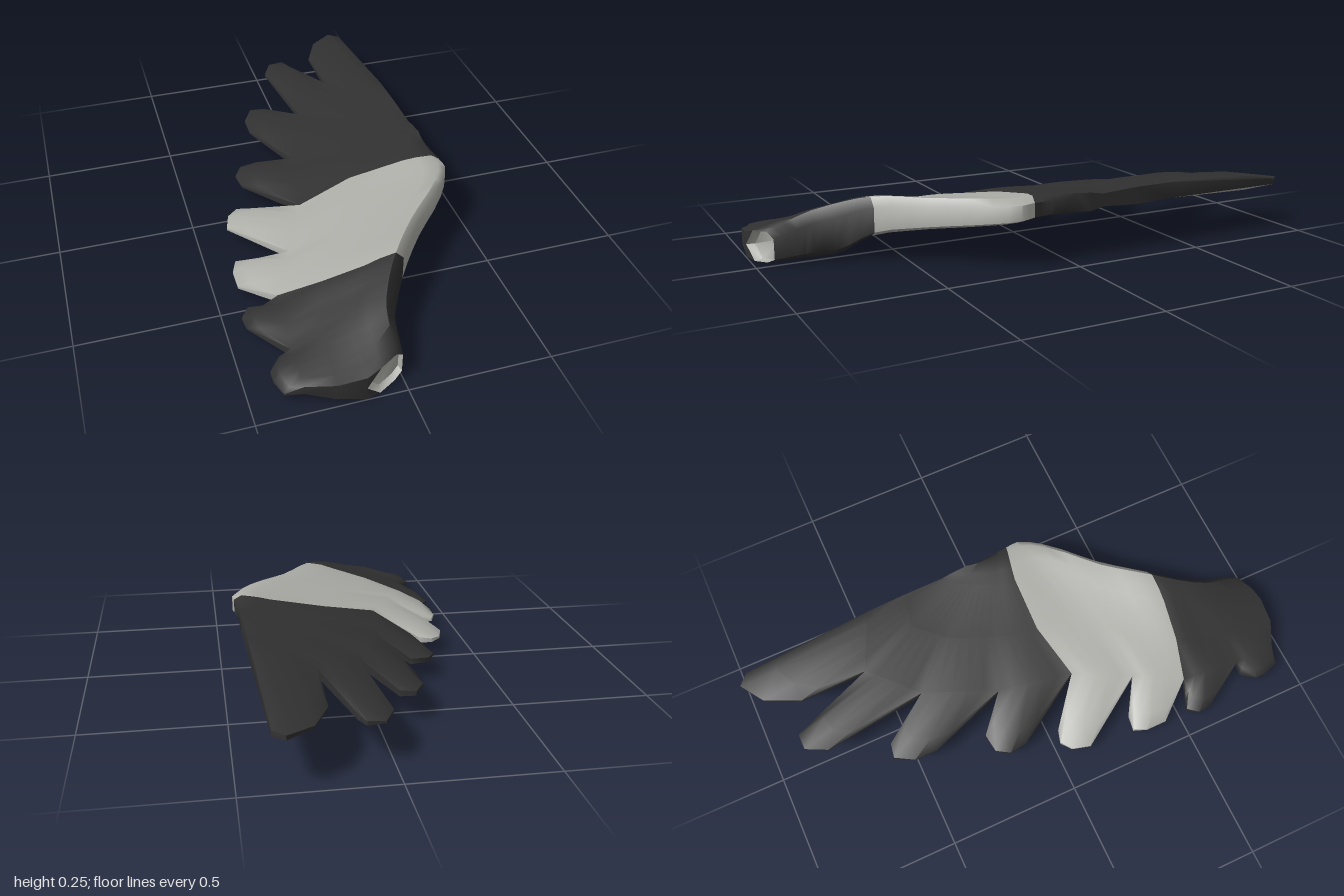
import * as THREE from 'three';
import { toCreasedNormals } from 'three/addons/utils/BufferGeometryUtils.js';

const mat = (name, color) => {
  const m = new THREE.MeshStandardMaterial({ color });
  m.name = name;
  return m;
};
const lerp = THREE.MathUtils.lerp;

// Leading edge from hand to shoulder: x, centre height, z, half thickness
const EDGE = [
  [0.425, 0.21, 0.0, 0.037], [0.427, 0.21, 0.04, 0.038], [0.43, 0.21, 0.08, 0.04],
  [0.433, 0.21, 0.11, 0.041], [0.436, 0.21, 0.145, 0.043], [0.44, 0.205, 0.2, 0.046],
  [0.38, 0.197, 0.3, 0.052], [0.24, 0.178, 0.45, 0.06], [0.12, 0.16, 0.61, 0.076],
  [0.06, 0.115, 0.71, 0.1], [0.02, 0.095, 0.8, 0.09], [0.0, 0.065, 0.935, 0.062],
];
const edgeCurve = new THREE.CatmullRomCurve3(EDGE.map(([x, y, z]) => new THREE.Vector3(x, y, z)));

// Positions along the leading edge where each feather begins and ends
const STOPS = [0, 1, 2, 3, 4, 6.3, 8, 10, 11];

// Notches between feathers: x, height, z
const NOTCHES = [
  [0.41, 0.208, -0.45], [0.2, 0.193, -0.55], [0.04, 0.162, -0.39], [-0.07, 0.145, -0.12],
  [-0.12, 0.135, 0.165], [-0.22, 0.112, 0.38], [-0.31, 0.085, 0.56], [-0.33, 0.063, 0.79], [-0.33, 0.053, 0.95],
];

// Feather tips: height, then four outline points x, z
const FEATHERS = [
  { part: 'handFeathers', y: 0.183, tip: [[0.39, -0.96], [0.35, -1.0], [0.26, -0.94], [0.2, -0.81]] },
  { part: 'handFeathers', y: 0.149, tip: [[0.11, -0.82], [0.09, -0.87], [0.03, -0.87], [-0.01, -0.79]] },
  { part: 'handFeathers', y: 0.107, tip: [[-0.075, -0.57], [-0.13, -0.58], [-0.17, -0.51], [-0.17, -0.42]] },
  { part: 'handFeathers', y: 0.08, tip: [[-0.19, -0.23], [-0.26, -0.22], [-0.29, -0.17], [-0.28, -0.1]] },
  { part: 'armFeathers', y: 0.063, tip: [[-0.28, 0.035], [-0.33, 0.02], [-0.37, 0.05], [-0.39, 0.12]] },
  { part: 'armFeathers', y: 0.05, tip: [[-0.34, 0.31], [-0.4, 0.3], [-0.42, 0.35], [-0.42, 0.43]] },
  { part: 'shoulderFeathers', y: 0.037, tip: [[-0.37, 0.545], [-0.41, 0.53], [-0.44, 0.57], [-0.435, 0.62]] },
  { part: 'shoulderFeathers', y: 0.042, tip: [[-0.37, 0.79], [-0.41, 0.84], [-0.41, 0.88], [-0.39, 0.94]] },
];
// Half thickness of a feather at its tip points, thicker on the leading side
const TIP_HALF = [0.011, 0.008, 0.004, 0.004];

// One chordwise rib: matching top and bottom points from nose to feather tip.
// bulge is 0 in a notch and 1 along the middle of a feather.
function makeRib(k, base, tip, bulge, tipHalf) {
  const nose = edgeCurve.getPoint(k / (EDGE.length - 1));
  const i = Math.min(Math.floor(k), EDGE.length - 2);
  const h = lerp(EDGE[i][3], EDGE[i + 1][3], k - i);
  const c = nose.y;
  const length = Math.hypot(base.x - nose.x, base.z - nose.z);
  const lead = Math.max(0, 1 - k); // the first feather is thick along its front
  const shoulder = THREE.MathUtils.smoothstep(k, 7.5, 9.5);
  const baseHalf = 0.016 + 0.014 * lead;
  const top = [], bottom = [];
  const snap = (v) => Math.round(v * 1e5) / 1e5;
  const add = (p, yTop, yBottom) => {
    top.push(new THREE.Vector3(snap(p.x), snap(yTop), snap(p.z)));
    bottom.push(new THREE.Vector3(snap(p.x), snap(yBottom), snap(p.z)));
  };
  // Ribs bow slightly at the wrist, the elbow and the shoulder
  const bow = 0.06 * Math.max(0, k - 10) - 0.045 * Math.max(0, 1 - Math.abs(k - 4))
    + 0.02 * Math.max(0, 1 - Math.abs(k - 8));
  const chord = (u) => {
    const p = nose.clone().lerp(base, u);
    p.z += bow * Math.sin(Math.PI * u);
    return p;
  };
  // Rounded arm
  add(nose, c + 0.55 * h, c - 0.65 * h);
  add(chord(0.03 / length), c + 0.97 * h, c - 0.9 * h);
  add(chord(0.09 / length), c + 0.82 * h, c - h);
  add(chord(0.14 / length), c + 0.58 * h, c - lerp(0.7, 0.93, shoulder) * h);
  // Thin vane and feather, domed above and flatter below
  const middle = lerp(c + 0.58 * h, base.y + baseHalf, 0.5) + 0.004;
  add(chord(lerp(0.14 / length, 1, 0.5)), middle, middle - 0.038 - 0.027 * lead - 0.022 * shoulder);
  add(base, base.y + baseHalf + 0.007 * bulge, base.y - baseHalf - 0.016 * bulge);
  const out = base.clone().lerp(tip, 0.7);
  const outY = lerp(base.y, tip.y, 0.62);
  add(out, outY + baseHalf + 0.003 * bulge, outY - baseHalf - 0.003 * bulge);
  const end = tipHalf ?? baseHalf;
  add(tip, tip.y + end, tip.y - end);
  return { top, bottom };
}

export function createModel() {
  const dark = mat('charcoal', 0x313131);
  const pale = mat('pale grey', 0xaeaea9);
  const materials = {
    handFeathers: dark, armFeathers: pale, shoulderFeathers: dark, underside: pale, shoulderEnd: pale,
  };
  // Bands of the rounded arm's lower side that carry the upper colour
  const wrap = { handFeathers: 1, armFeathers: 3, shoulderFeathers: 3 };
  const parts = {};
  for (const name in materials) parts[name] = [];

  const tri = (part, a, b, c) => {
    const area = b.clone().sub(a).cross(c.clone().sub(a)).length();
    if (area > 1e-9) for (const p of [a, b, c]) parts[part].push(p.x, p.y, p.z);
  };
  const quad = (part, a, b, c, d) => { tri(part, a, b, c); tri(part, a, c, d); };

  let first, last;
  FEATHERS.forEach(({ part, y, tip }, f) => {
    const n0 = new THREE.Vector3(...NOTCHES[f]);
    const n1 = new THREE.Vector3(...NOTCHES[f + 1]);
    const outline = [n0, ...tip.map(([x, z]) => new THREE.Vector3(x, y, z)), n1];
    const ribs = outline.map((t, j) => {
      const u = j / (outline.length - 1);
      return makeRib(lerp(STOPS[f], STOPS[f + 1], u), n0.clone().lerp(n1, u), t,
        Math.sin(Math.PI * u), TIP_HALF[j - 1]);
    });
    for (let r = 0; r < ribs.length - 1; r++) {
      const A = ribs[r], B = ribs[r + 1], e = A.top.length - 1;
      for (let s = 0; s < e; s++) {
        quad(part, A.top[s], A.top[s + 1], B.top[s + 1], B.top[s]);
        quad(s < wrap[part] ? part : 'underside', A.bottom[s], B.bottom[s], B.bottom[s + 1], A.bottom[s + 1]);
      }
      // Nose and feather rim
      quad(part, A.top[0], B.top[0], B.bottom[0], A.bottom[0]);
      quad(part, A.top[e], A.bottom[e], B.bottom[e], B.top[e]);
    }
    first = first || ribs[0];
    last = ribs[ribs.length - 1];
  });

  // Front side of the longest feather, and the trailing part of the shoulder end
  for (let s = 0; s < first.top.length - 1; s++) {
    quad('handFeathers', first.top[s], first.bottom[s], first.bottom[s + 1], first.top[s + 1]);
    if (s > 2) quad('shoulderFeathers', last.top[s], last.top[s + 1], last.bottom[s + 1], last.bottom[s]);
  }

  // Shallow pale socket in the cut end of the arm, with dark corners behind it
  const { top, bottom } = last;
  const corner = top[3].clone().lerp(bottom[3], 0.5);
  tri('shoulderFeathers', top[2], top[3], corner);
  tri('shoulderFeathers', bottom[2], corner, bottom[3]);
  const rim = [top[0], top[1], top[2], corner, bottom[2], bottom[1], bottom[0]];
  const centre = rim.reduce((sum, p) => sum.add(p), new THREE.Vector3()).divideScalar(rim.length);
  const floor = rim.map((p) => p.clone().lerp(centre, 0.12).add(new THREE.Vector3(0, 0, -0.025)));
  rim.forEach((p, i) => {
    const n = (i + 1) % rim.length;
    quad('shoulderEnd', p, rim[n], floor[n], floor[i]);
    if (i > 0 && n > 0) tri('shoulderEnd', floor[0], floor[i], floor[n]);
  });

  // Normals are computed across the whole wing so colour borders stay smooth
  let whole = new THREE.BufferGeometry();
  whole.setAttribute('position', new THREE.Float32BufferAttribute(Object.values(parts).flat(), 3));
  whole = toCreasedNormals(whole, 0.95);

  const wing = new THREE.Group();
  wing.name = 'wing';
  let start = 0;
  for (const name in parts) {
    const end = start + parts[name].length;
    const g = new THREE.BufferGeometry();
    for (const key of ['position', 'normal']) {
      g.setAttribute(key, new THREE.BufferAttribute(whole.attributes[key].array.slice(start, end), 3));
    }
    const mesh = new THREE.Mesh(g, materials[name]);
    mesh.name = name;
    wing.add(mesh);
    start = end;
  }
  return wing;
}
